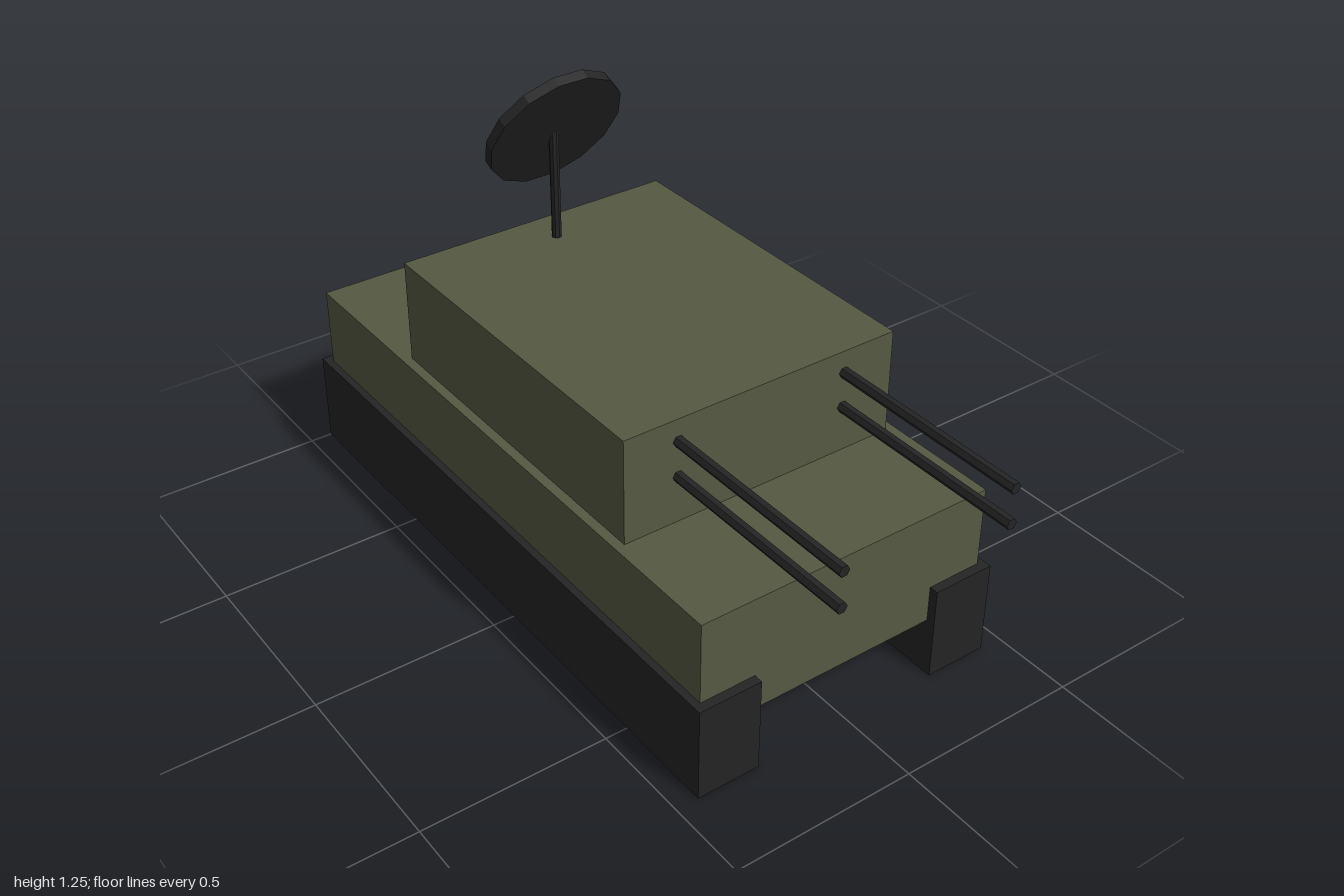
import * as THREE from 'three';

const olive = new THREE.MeshStandardMaterial({ color: 0x555943, flatShading: true });
const dark = new THREE.MeshStandardMaterial({ color: 0x242424, flatShading: true });

export function createModel() {
  const model = new THREE.Group();

  const add = (name, geometry, material, x, y, z) => {
    const mesh = new THREE.Mesh(geometry, material);
    mesh.name = name;
    mesh.position.set(x, y, z);
    model.add(mesh);
    return mesh;
  };

  // Box given by its lower and upper limits on each axis
  const addBox = (name, material, [x0, x1], [y0, y1], [z0, z1]) =>
    add(name, new THREE.BoxGeometry(x1 - x0, y1 - y0, z1 - z0), material,
      (x0 + x1) / 2, (y0 + y1) / 2, (z0 + z1) / 2);

  // Body
  addBox('hull', olive, [-0.973, 0.755], [0.158, 0.481], [-0.419, 0.419]);
  addBox('turret', olive, [-0.54, 0.43], [0.481, 0.766], [-0.393, 0.393]);

  // Tracks and twin gun barrels, mirrored across the long axis
  for (const side of [1, -1]) {
    const label = side > 0 ? 'front' : 'back';
    const track = addBox(label + 'Track', dark, [-1, 0.78], [0, 0.259], [-0.087, 0.087]);
    track.position.z = side * 0.352;

    for (const [level, y] of [['Upper', 0.706], ['Lower', 0.609]]) {
      const barrel = add(label + level + 'Barrel',
        new THREE.CylinderGeometry(0.015, 0.015, 0.6, 6), dark, 0.7, y, side * 0.243);
      barrel.rotation.z = -Math.PI / 2;
    }
  }

  // Radar mast and tilted dish
  add('radarMast', new THREE.CylinderGeometry(0.013, 0.013, 0.31, 8), dark, -0.435, 0.915, 0);
  const dish = add('radarDish', new THREE.CylinderGeometry(0.19, 0.19, 0.029, 14), dark, -0.435, 1.077, 0);
  dish.rotation.z = THREE.MathUtils.degToRad(62.5);

  return model;
}
